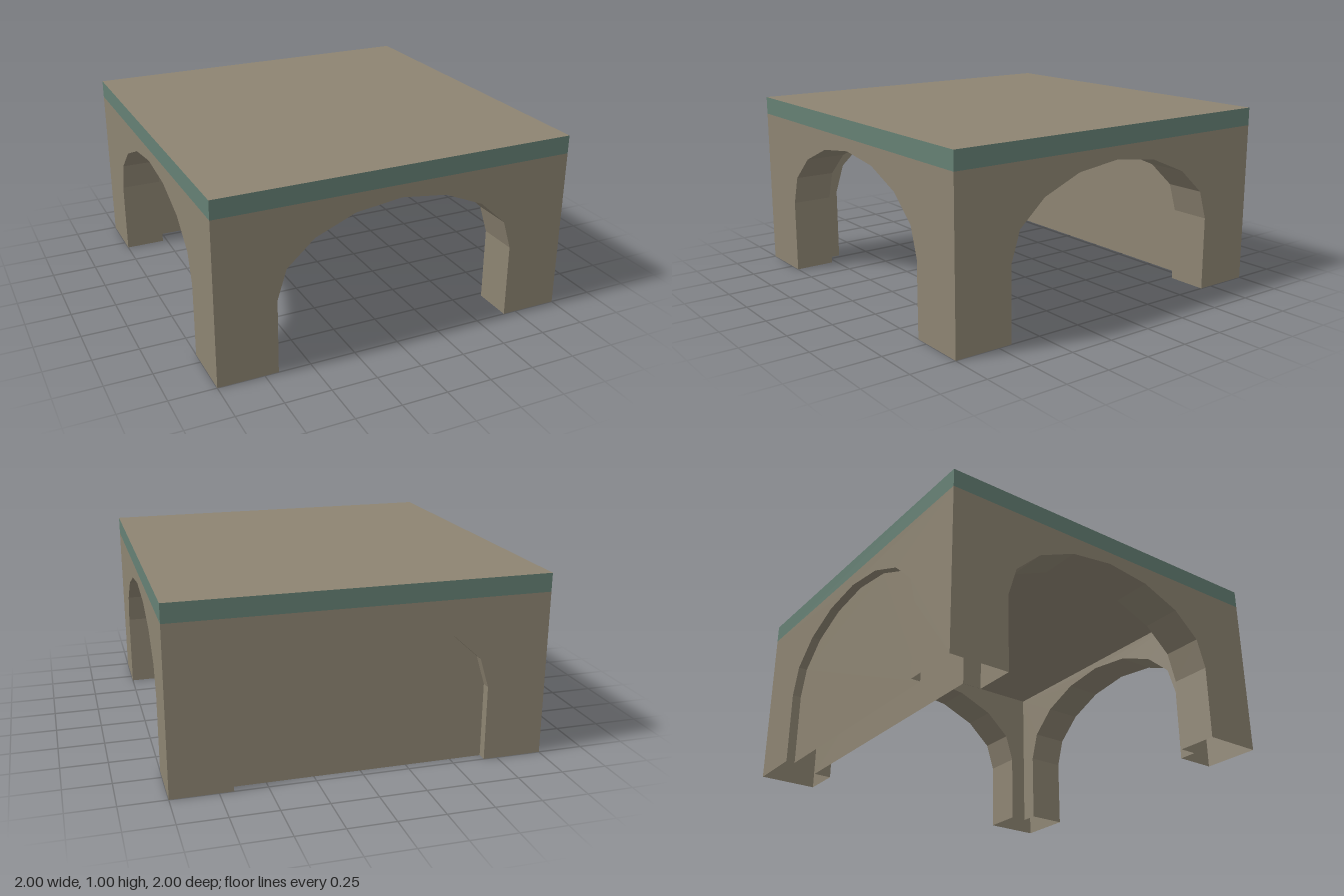
import * as THREE from 'three';

const HALF = 1;          // outer half width
const INNER = 0.775;     // inner half width of the hollow room
const CEILING = 0.87;
const TRIM = 0.9;        // lower edge of the coloured band
const RECESS = 0.95;     // plane of the closed back panel

// Right half of the arch, from the ground to the crown, then mirrored
const rightHalf = [[0.675, 0], [0.675, 0.41], [0.625, 0.57], [0.475, 0.705], [0.255, 0.797], [0, 0.83]];
const arch = [...rightHalf, ...rightHalf.slice(0, -1).reverse().map(([x, y]) => [-x, y])];

const shapeOf = (points) => new THREE.Shape(points.map(([x, y]) => new THREE.Vector2(x, y)));

// Flat wall facing +z, with the arch cut up from its lower edge if wanted
function wallGeometry(half, height, open) {
  const cut = open ? [...arch].reverse() : [];
  return new THREE.ShapeGeometry(shapeOf([...cut, [half, 0], [half, height], [-half, height], [-half, 0]]));
}

// Faceted inside faces of the arch, running from z = front to z = back
function revealGeometry(front, back) {
  const positions = [];
  for (let i = 0; i < arch.length - 1; i++) {
    const a = [...arch[i], front], b = [...arch[i + 1], front];
    const c = [...arch[i], back], d = [...arch[i + 1], back];
    positions.push(...a, ...b, ...c, ...b, ...d, ...c);
  }
  const geometry = new THREE.BufferGeometry();
  geometry.setAttribute('position', new THREE.Float32BufferAttribute(positions, 3));
  geometry.computeVertexNormals();
  return geometry;
}

export function createModel() {
  const stone = new THREE.MeshStandardMaterial({ color: 0x8d8472, side: THREE.DoubleSide });
  stone.name = 'stone';
  const band = new THREE.MeshStandardMaterial({ color: 0x658074, side: THREE.DoubleSide });
  band.name = 'green band';

  const model = new THREE.Group();
  model.name = 'archedBase';

  const add = (parent, name, geometry, material) => {
    const mesh = new THREE.Mesh(geometry, material);
    mesh.name = name;
    parent.add(mesh);
    return mesh;
  };

  // One side of the block: outer wall, band, arch reveal and inner wall
  function addSide(name, angle, open) {
    const side = new THREE.Group();
    side.name = name;
    side.rotation.y = angle;
    add(side, 'outerWall', wallGeometry(HALF, TRIM, true).translate(0, 0, HALF), stone);
    add(side, 'trimBand', new THREE.PlaneGeometry(2 * HALF, 1 - TRIM).translate(0, (1 + TRIM) / 2, HALF), band);
    add(side, 'archReveal', revealGeometry(HALF, open ? INNER : RECESS), stone);
    add(side, 'innerWall', wallGeometry(INNER, CEILING, open).rotateY(Math.PI).translate(0, 0, INNER), stone);
    if (!open) add(side, 'recessedPanel', new THREE.ShapeGeometry(shapeOf(arch)).translate(0, 0, RECESS), stone);
    model.add(side);
  }

  addSide('frontSide', 0, true);
  addSide('leftSide', Math.PI / 2, true);
  addSide('backSide', Math.PI, false);
  addSide('rightSide', -Math.PI / 2, true);

  // Flat top and the ceiling of the room; the legs stay hollow underneath
  add(model, 'top', new THREE.PlaneGeometry(2 * HALF, 2 * HALF).rotateX(-Math.PI / 2).translate(0, 1, 0), stone);
  add(model, 'ceiling', new THREE.PlaneGeometry(2 * INNER, 2 * INNER).rotateX(Math.PI / 2).translate(0, CEILING, 0), stone);

  return model;
}
